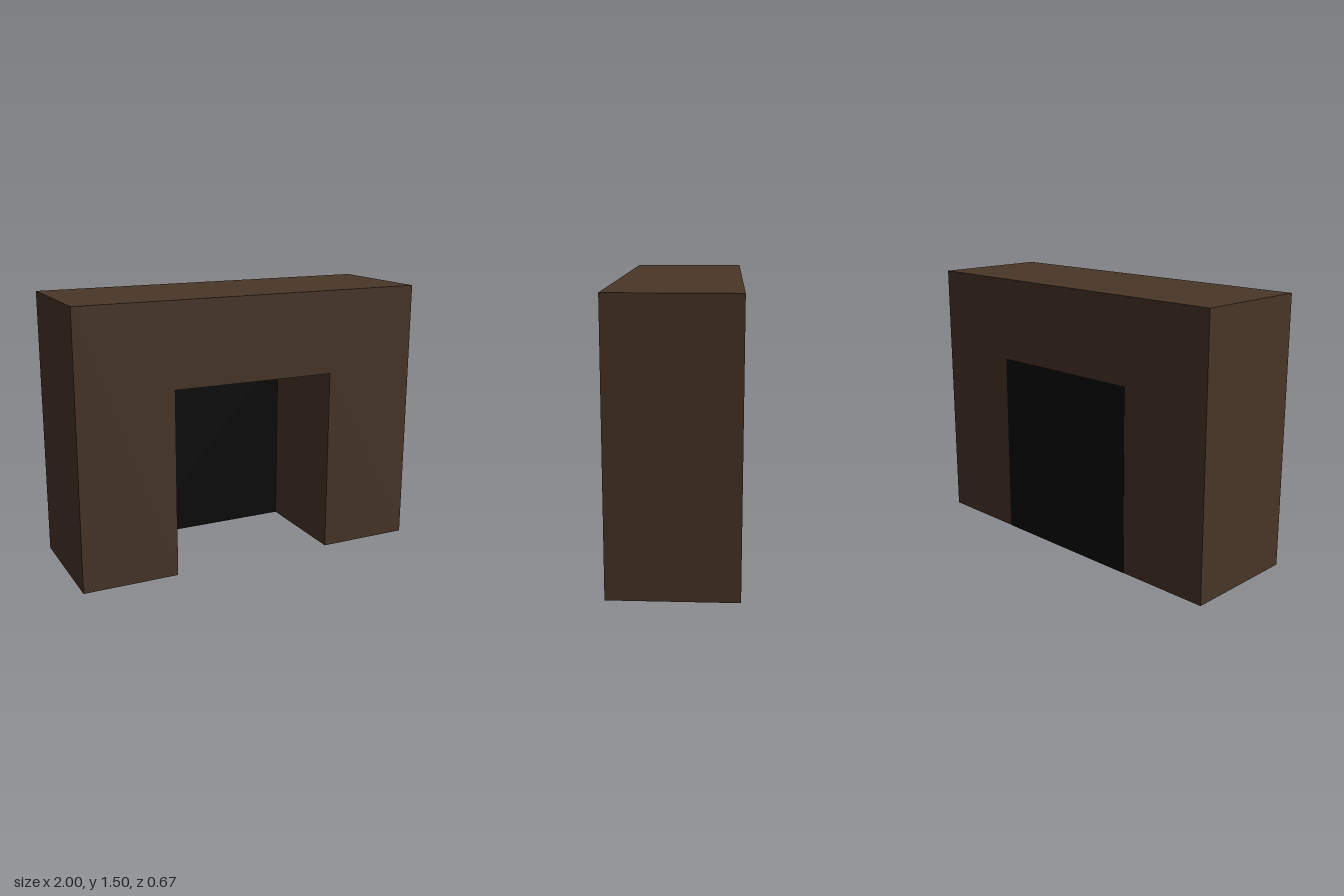
import * as THREE from 'three';

const W = 2, H = 1.5, D = 0.667;          // outer block
const OPEN_HALF = 0.467, OPEN_H = 1.035;  // opening

export function createModel() {
  const group = new THREE.Group();
  const brown = new THREE.MeshStandardMaterial({ color: 0x4a3728 });
  brown.name = 'dark brown';
  const black = new THREE.MeshStandardMaterial({ color: 0x0a0a0a });
  black.name = 'soot black';

  // Surround: an upside-down U extruded through the depth
  const outline = new THREE.Shape([
    [-W / 2, 0], [-OPEN_HALF, 0], [-OPEN_HALF, OPEN_H], [OPEN_HALF, OPEN_H],
    [OPEN_HALF, 0], [W / 2, 0], [W / 2, H], [-W / 2, H],
  ].map(([x, y]) => new THREE.Vector2(x, y)));
  const surroundGeometry = new THREE.ExtrudeGeometry(outline, { depth: D, bevelEnabled: false });
  surroundGeometry.translate(0, 0, -D / 2);
  const surround = new THREE.Mesh(surroundGeometry, brown);
  surround.name = 'surround';
  group.add(surround);

  // Back panel closing the rear of the opening, a hair proud of the back face
  const front = -0.272, back = -D / 2 - 0.002;
  const panel = new THREE.Mesh(
    new THREE.BoxGeometry(OPEN_HALF * 2 + 0.004, OPEN_H + 0.002, front - back), black);
  panel.position.set(0, (OPEN_H + 0.002) / 2, (front + back) / 2);
  panel.name = 'backPanel';
  group.add(panel);

  return group;
}
